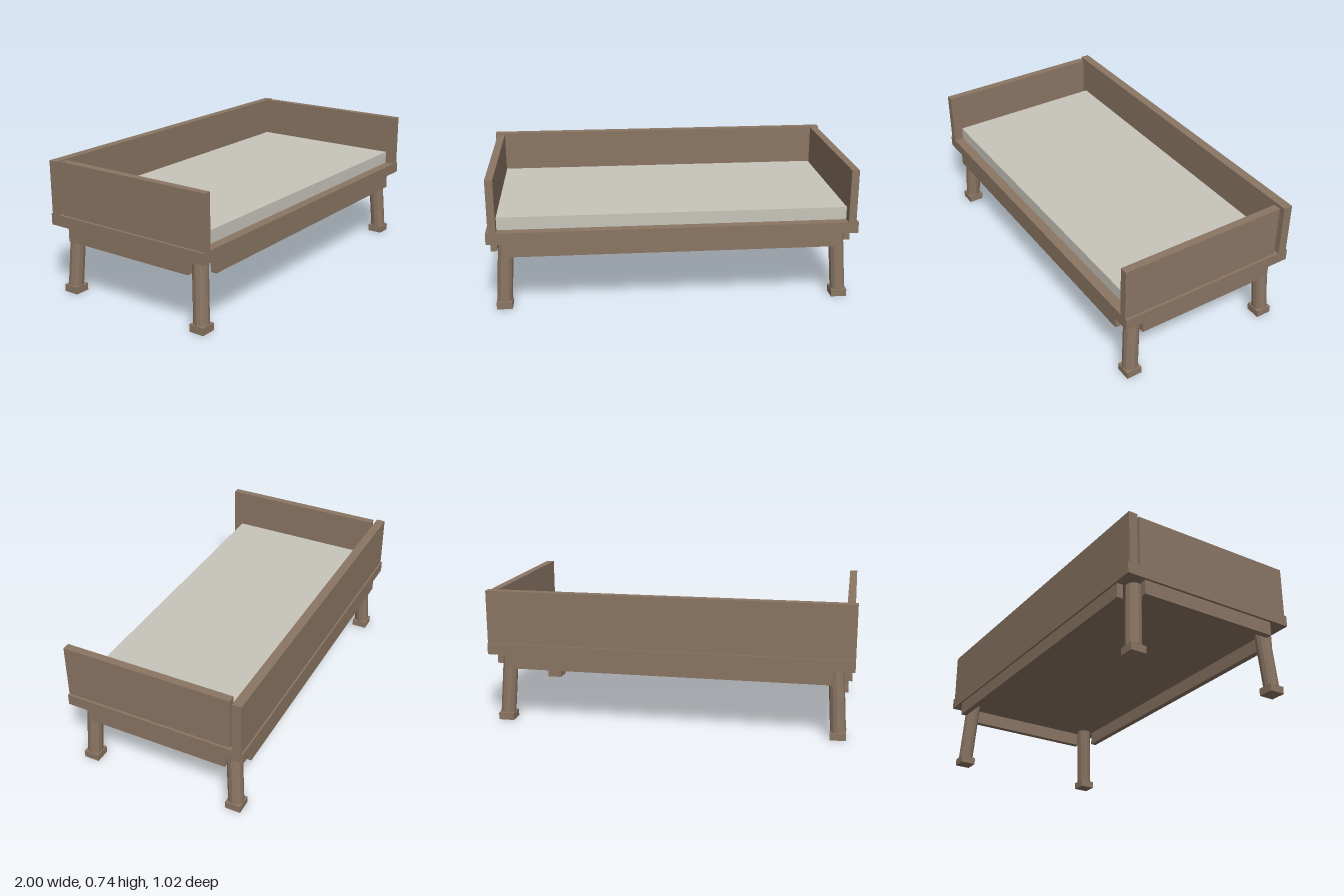
import * as THREE from 'three';

export function createModel() {
  const model = new THREE.Group();
  model.name = 'daybed';
  const wood = new THREE.MeshStandardMaterial({ color: 0x8a7563 });
  const facetedWood = new THREE.MeshStandardMaterial({ color: 0x8a7563, flatShading: true });
  const fabric = new THREE.MeshStandardMaterial({ color: 0xc8c4bb });

  // Box given by its extents on each axis
  function box(name, [x0, x1], [y0, y1], [z0, z1], material = wood) {
    const mesh = new THREE.Mesh(new THREE.BoxGeometry(x1 - x0, y1 - y0, z1 - z0), material);
    mesh.position.set((x0 + x1) / 2, (y0 + y1) / 2, (z0 + z1) / 2);
    mesh.name = name;
    model.add(mesh);
  }
  const mirrored = (s, a, b) => (s > 0 ? [a, b] : [-b, -a]);

  // Platform, mattress and backrest
  box('platform', [-1, 1], [0.388, 0.45], [-0.511, 0.511]);
  box('mattress', [-0.944, 0.944], [0.45, 0.52], [-0.452, 0.457], fabric);
  box('backPanel', [-1, 1], [0.45, 0.743], [-0.502, -0.452]);

  // End panels and the apron rails under the platform
  for (const s of [1, -1]) {
    const side = s > 0 ? 'left' : 'right';
    box(side + 'EndPanel', mirrored(s, 0.944, 0.986), [0.45, 0.743], [-0.433, 0.511]);
    box(side + 'Apron', mirrored(s, 0.952, 0.986), [0.31, 0.388], [-0.403, 0.403]);
    box(s > 0 ? 'frontApron' : 'backApron', [-0.886, 0.886], [0.31, 0.388], mirrored(s, 0.466, 0.5));
  }

  // Splayed round legs on square feet
  const up = new THREE.Vector3(0, 1, 0);
  for (const sx of [1, -1]) for (const sz of [1, -1]) {
    const corner = (sz > 0 ? 'front' : 'back') + (sx > 0 ? 'Left' : 'Right');
    box(corner + 'Foot', mirrored(sx, 0.88, 0.966), [0, 0.04], mirrored(sz, 0.39, 0.477));
    const bottom = new THREE.Vector3(sx * 0.923, 0.04, sz * 0.434);
    const top = new THREE.Vector3(sx * 0.9, 0.392, sz * 0.413);
    const leg = new THREE.Mesh(
      new THREE.CylinderGeometry(0.042, 0.042, top.distanceTo(bottom), 12), facetedWood);
    leg.position.addVectors(top, bottom).multiplyScalar(0.5);
    leg.quaternion.setFromUnitVectors(up, top.clone().sub(bottom).normalize());
    leg.name = corner + 'Leg';
    model.add(leg);
  }
  return model;
}
